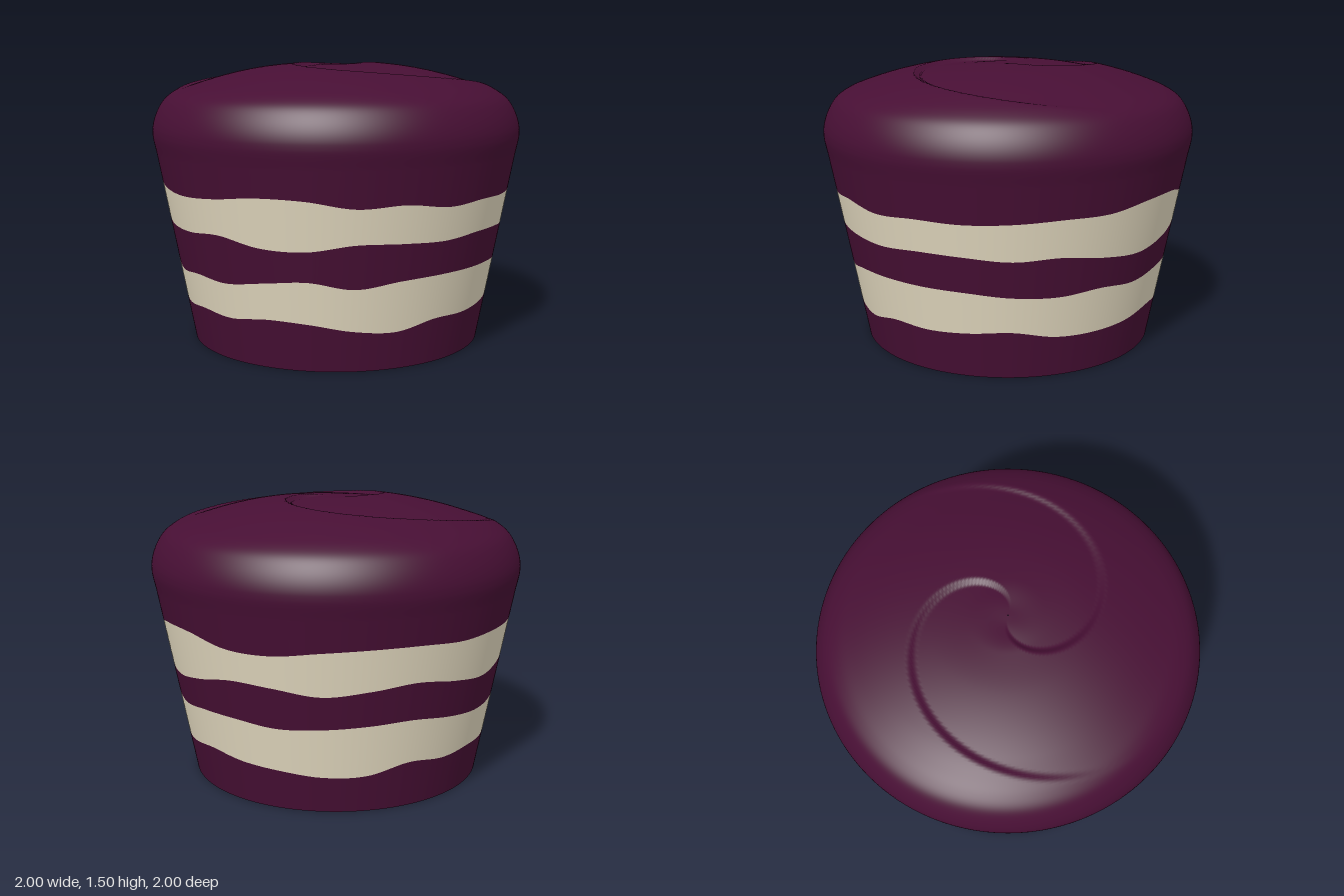
import * as THREE from 'three';

const SEG = 240;
const plum = new THREE.MeshStandardMaterial({ color: 0x470f34 });
plum.name = 'plum sponge';
const cream = new THREE.MeshStandardMaterial({ color: 0xe6dcc2 });
cream.name = 'cream filling';

// Heights of the wavy layer edges, every 15 degrees from the front towards +x
const edges = {
  lowerBottom: [.2, .24, .235, .245, .258, .222, .216, .225, .25, .23, .215, .195,
    .2, .25, .23, .238, .23, .25, .23, .245, .235, .26, .25, .215],
  lowerTop: [.465, .475, .475, .47, .45, .443, .46, .443, .465, .467, .45, .46,
    .475, .485, .46, .44, .445, .465, .415, .43, .42, .45, .47, .435],
  upperBottom: [.657, .65, .665, .66, .643, .655, .625, .605, .635, .675, .665, .635,
    .66, .685, .655, .63, .66, .69, .66, .655, .67, .63, .625, .66],
  upperTop: [.85, .822, .835, .83, .838, .852, .855, .885, .885, .84, .835, .862,
    .876, .878, .866, .873, .876, .885, .856, .842, .855, .88, .875, .838],
};

// Periodic smooth interpolation of an edge
function edgeHeight(values, angle) {
  const n = values.length;
  const u = (angle / (2 * Math.PI)) * n;
  const i = Math.floor(u), f = u - i;
  const [a, b, c, d] = [-1, 0, 1, 2].map((k) => values[(i + k + n) % n]);
  return b + 0.5 * f * (c - a + f * (2 * a - 5 * b + 4 * c - d + f * (3 * (b - c) + d - a)));
}

const wallRadius = (y) => 0.79 + 0.187 * y;

// Ring functions map an angle to [radius, height]
const flatRing = (r, y) => () => [r, y];
const wavyRing = (values) => (angle) => {
  const y = edgeHeight(values, angle);
  return [wallRadius(y), y];
};

// Joins closed rings, ordered bottom to top, into one smooth skin
function loft(rings, material, name) {
  const pos = [], index = [];
  rings.forEach((ring, j) => {
    for (let i = 0; i < SEG; i++) {
      const angle = (i / SEG) * 2 * Math.PI;
      const [r, y] = ring(angle);
      pos.push(r * Math.sin(angle), y, r * Math.cos(angle));
      if (j === 0) continue;
      const next = (i + 1) % SEG, lo = (j - 1) * SEG, hi = j * SEG;
      index.push(lo + i, lo + next, hi + next, lo + i, hi + next, hi + i);
    }
  });
  const geo = new THREE.BufferGeometry();
  geo.setAttribute('position', new THREE.Float32BufferAttribute(pos, 3));
  geo.setIndex(index);
  geo.computeVertexNormals();
  const mesh = new THREE.Mesh(geo, material);
  mesh.name = name;
  return mesh;
}

// Shallow two-armed spiral step on the dome
function swirl(r, angle) {
  const theta = Math.PI / 2 - angle;
  const t = (r - 0.9) / (0.213 * Math.PI) + theta / Math.PI;
  const f = t - Math.floor(t), w = 0.05;
  const saw = f > 1 - w ? -0.5 + (f - 1 + w) / w : 0.5 - f / (1 - w);
  const fade = THREE.MathUtils.smoothstep(r, 0.03, 0.2) * (1 - THREE.MathUtils.smoothstep(r, 0.7, 0.95));
  return 0.022 * saw * fade;
}

export function createModel() {
  const group = new THREE.Group();
  group.name = 'layeredCake';
  const { lowerBottom, lowerTop, upperBottom, upperTop } = edges;

  // Stacked layers of the tapered wall
  group.add(
    loft([flatRing(0.79, 0), wavyRing(lowerBottom)], plum, 'bottomSponge'),
    loft([wavyRing(lowerBottom), wavyRing(lowerTop)], cream, 'lowerCream'),
    loft([wavyRing(lowerTop), wavyRing(upperBottom)], plum, 'middleSponge'),
    loft([wavyRing(upperBottom), wavyRing(upperTop)], cream, 'upperCream'),
  );

  // Rounded crown with the swirl
  const profile = new THREE.CatmullRomCurve3([
    [0.981, 1.02], [1, 1.12], [0.995, 1.18], [0.97, 1.25], [0.93, 1.31], [0.87, 1.353],
    [0.78, 1.39], [0.6, 1.44], [0.4, 1.475], [0.2, 1.489], [0.002, 1.492],
  ].map(([r, y]) => new THREE.Vector3(r, y, 0)));
  const domeRings = profile.getSpacedPoints(110).map((p) => {
    const r = Math.min(p.x, 1);
    return (angle) => [r, p.y + swirl(r, angle)];
  });
  group.add(loft([wavyRing(upperTop), ...domeRings], plum, 'crown'));

  // Flat underside
  const base = new THREE.Mesh(new THREE.CircleGeometry(0.79, SEG).rotateX(Math.PI / 2), plum);
  base.name = 'base';
  group.add(base);
  return group;
}
